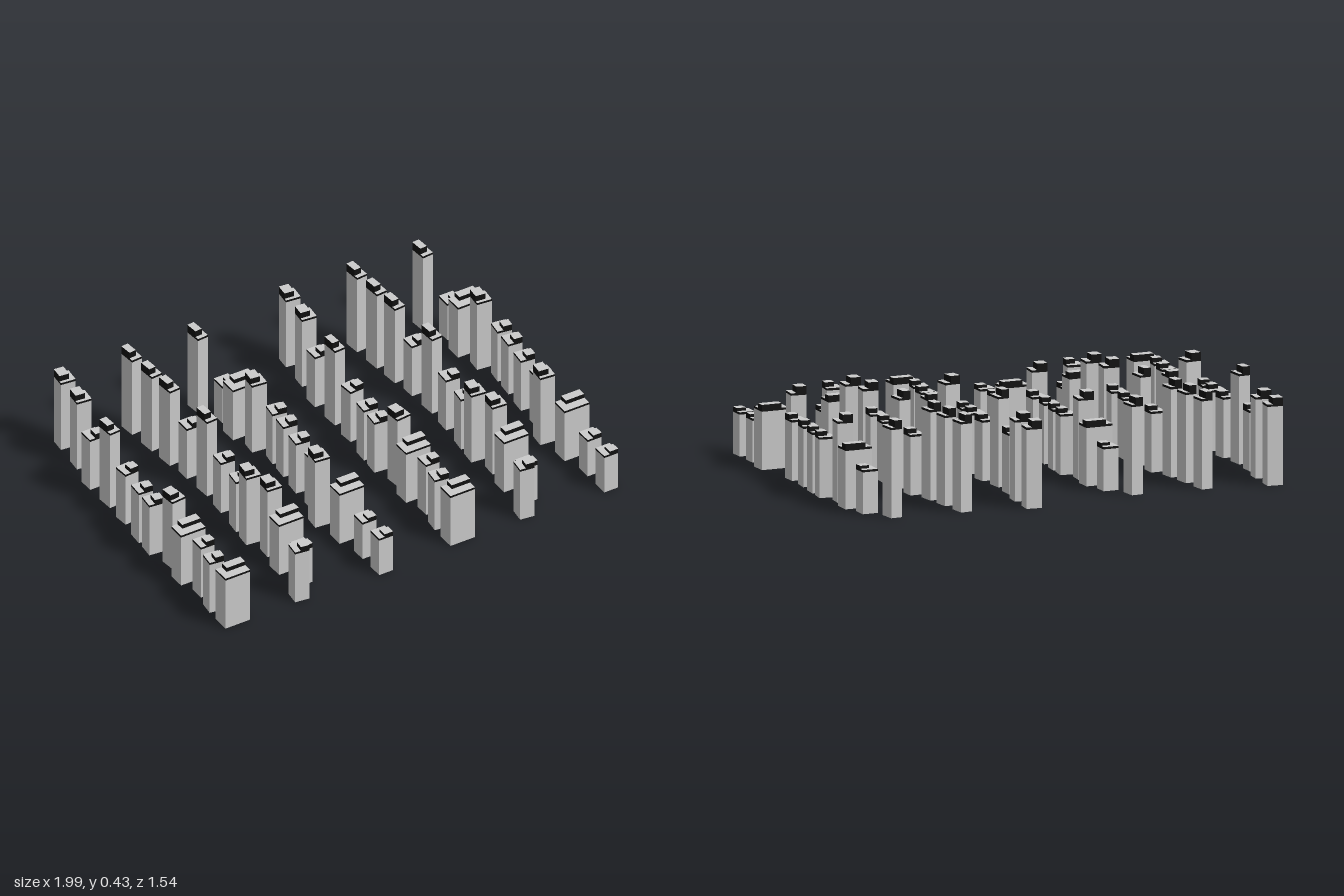
import * as THREE from 'three';

const grey = new THREE.MeshStandardMaterial({ color: 0xcccccc });
const dark = new THREE.MeshStandardMaterial({ color: 0x111111 });
const darkSided = [dark, dark, grey, grey, dark, dark];

// Building types: footprint, wall height, roof block height,
// roof block share of the footprint, and the corner it sits in
const TYPES = {
  tall: { w: 0.052, d: 0.078, h: 0.395, cap: 0.03, cw: 0.65, cd: 0.75, sx: -1, sz: -1 },
  mid: { w: 0.07, d: 0.07, h: 0.355, cap: 0.028, cw: 0.65, cd: 0.8, sx: -1, sz: -1 },
  low: { w: 0.068, d: 0.07, h: 0.265, cap: 0.02, cw: 0.6, cd: 0.6, sx: 1, sz: 1 },
  short: { w: 0.07, d: 0.07, h: 0.193, cap: 0.013, cw: 0.6, cd: 0.6, sx: 1, sz: 1 },
  wide: { w: 0.123, d: 0.08, h: 0.265, cap: 0.02, cw: 0.75, cd: 0.5, sx: 1, sz: -1 },
};

// Each street row from back to front: type, x, z, turn
const ROWS = [
  [
    ['mid', -0.885, -0.738, -0.1], ['mid', -0.9, -0.583, -0.1],
    ['low', -0.933, -0.433, 0], ['tall', -0.939, -0.283, 0.06],
    ['low', -0.937, -0.144, 0.08], ['low', -0.953, 0.003, -0.07],
    ['low', -0.96, 0.102, -0.1], ['mid', -0.933, 0.23, 0.1],
    ['wide', -0.933, 0.348, 0], ['low', -0.933, 0.471, 0],
    ['low', -0.955, 0.588, -0.12], ['wide', -0.933, 0.71, 0],
  ],
  [
    ['tall', -0.585, -0.68, 0.08], ['tall', -0.575, -0.535, 0.08],
    ['tall', -0.564, -0.406, 0.08], ['low', -0.54, -0.283, 0],
    ['tall', -0.542, -0.137, 0.06], ['low', -0.542, 0.003, -0.06],
    ['low', -0.557, 0.155, -0.12], ['mid', -0.568, 0.257, -0.1],
    ['mid', -0.537, 0.376, -0.06], ['wide', -0.537, 0.503, 0],
    ['short', -0.537, 0.624, 0], ['low', -0.605, 0.715, -0.12],
  ],
  [
    ['tall', -0.265, -0.663, 0.08], ['short', -0.2, -0.545, 0],
    ['wide', -0.2, -0.42, 0], ['mid', -0.2, -0.294, -0.1],
    ['low', -0.169, -0.176, -0.14], ['low', -0.179, -0.075, -0.1],
    ['low', -0.195, 0.053, -0.1], ['low', -0.2, 0.193, 0],
    ['mid', -0.252, 0.305, -0.1], ['wide', -0.2, 0.449, 0],
    ['short', -0.2, 0.598, 0], ['short', -0.2, 0.733, 0],
  ],
];

function box(name, w, h, d, x, y, z, material) {
  const mesh = new THREE.Mesh(new THREE.BoxGeometry(w, h, d), material);
  mesh.name = name;
  mesh.position.set(x, y + h / 2, z);
  return mesh;
}

function building([type, x, z, turn], shift) {
  const t = TYPES[type];
  const rim = 0.01;
  const group = new THREE.Group();
  group.name = type + 'Building';
  // walls, dark roof rim, and off-centre roof block
  group.add(
    box('walls', t.w, t.h - rim, t.d, 0, 0, 0, grey),
    box('roofRim', t.w, rim, t.d, 0, t.h - rim, 0, darkSided),
    box('roofBlock', t.w * t.cw, t.cap, t.d * t.cd,
      t.sx * t.w * (1 - t.cw) / 2, t.h, t.sz * t.d * (1 - t.cd) / 2, darkSided),
  );
  group.position.set(x + shift, 0, z);
  group.rotation.y = turn;
  return group;
}

export function createModel() {
  const city = new THREE.Group();
  city.name = 'cityBlocks';
  // The three rows repeat once to the left
  for (const shift of [0, 1.128]) {
    for (const row of ROWS) {
      const street = new THREE.Group();
      street.name = 'streetRow';
      row.forEach((entry) => street.add(building(entry, shift)));
      city.add(street);
    }
  }
  return city;
}
